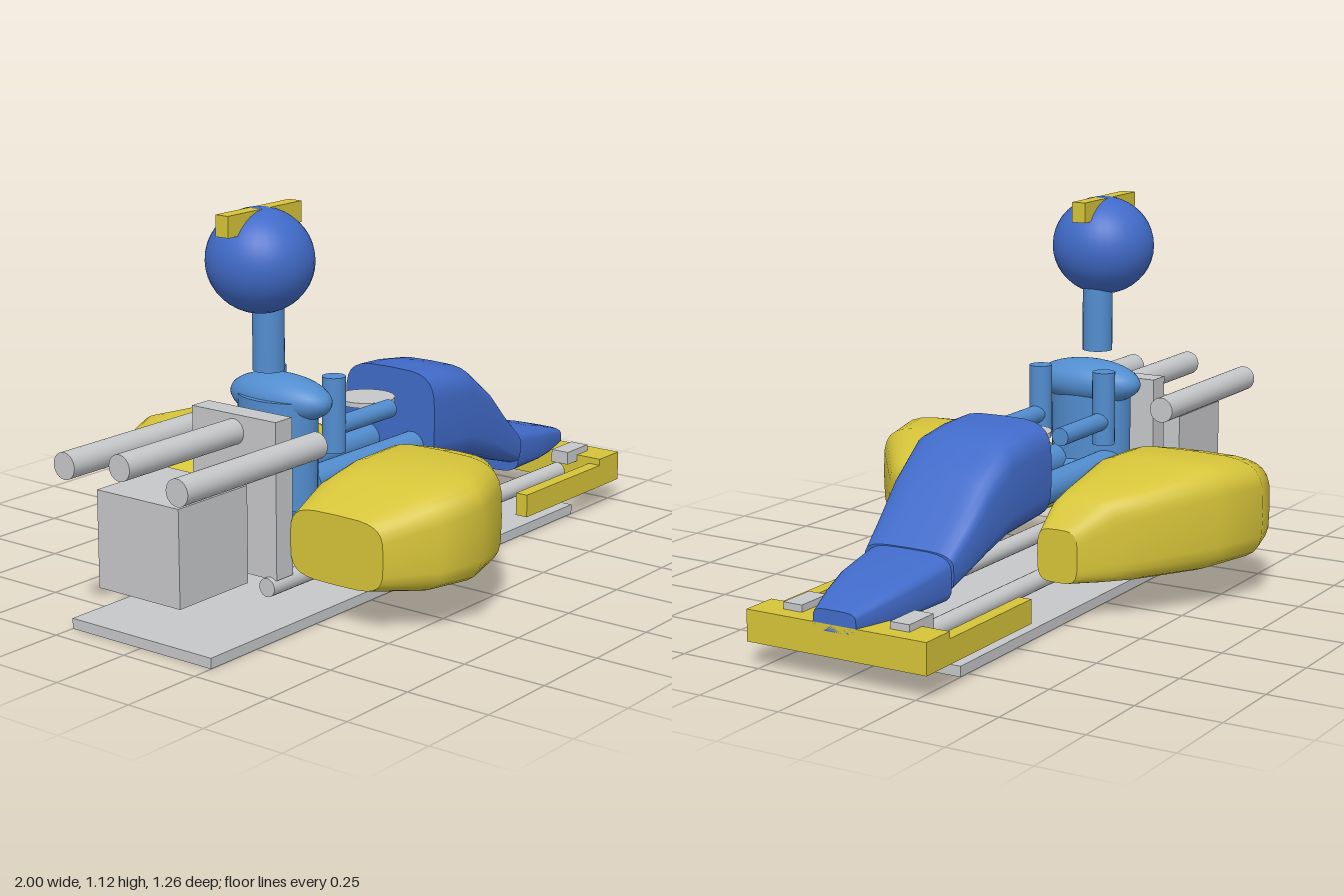
import * as THREE from 'three';

const material = (name, color) => {
  const m = new THREE.MeshStandardMaterial({ color });
  m.name = name;
  return m;
};

// Skin through rounded sections [x, bottom, top, zMin, zMax]; power sets how square they are
function loft(sections, power, n = 28) {
  const pos = [], index = [];
  const rings = sections.map(([x, y0, y1, z0, z1]) => {
    const ring = [];
    for (let j = 0; j < n; j++) {
      const t = (j / n) * Math.PI * 2;
      const round = (v) => Math.sign(v) * Math.abs(v) ** (2 / power);
      ring.push([
        x,
        (y0 + y1) / 2 + ((y1 - y0) / 2) * round(Math.sin(t)),
        (z0 + z1) / 2 + ((z1 - z0) / 2) * round(Math.cos(t)),
      ]);
    }
    return ring;
  });
  rings.forEach((ring) => ring.forEach((p) => pos.push(...p)));
  for (let i = 0; i < rings.length - 1; i++) {
    for (let j = 0; j < n; j++) {
      const a = i * n + j, b = i * n + ((j + 1) % n);
      index.push(a, a + n, b, b, a + n, b + n);
    }
  }
  // End caps with their own corners, so their rims stay sharp
  [0, rings.length - 1].forEach((r, end) => {
    const base = pos.length / 3;
    const [x, y0, y1, z0, z1] = sections[r];
    pos.push(x, (y0 + y1) / 2, (z0 + z1) / 2);
    rings[r].forEach((p) => pos.push(...p));
    for (let j = 0; j < n; j++) {
      const a = base + 1 + j, b = base + 1 + ((j + 1) % n);
      if (end) index.push(base, b, a);
      else index.push(base, a, b);
    }
  });
  const g = new THREE.BufferGeometry();
  g.setAttribute('position', new THREE.Float32BufferAttribute(pos, 3));
  g.setIndex(index);
  g.computeVertexNormals();
  return g;
}

export function createModel() {
  const model = new THREE.Group();
  const grey = material('metal grey', 0xc6c7c9);
  const yellow = material('body yellow', 0xd6c439);
  const blue = material('deep blue', 0x416bc9);
  const suit = material('suit blue', 0x528dcf);

  const add = (name, geometry, mat, x = 0, y = 0, z = 0) => {
    const mesh = new THREE.Mesh(geometry, mat);
    mesh.name = name;
    mesh.position.set(x, y, z);
    model.add(mesh);
    return mesh;
  };
  const box = (name, mat, x0, x1, y0, y1, z0, z1) =>
    add(name, new THREE.BoxGeometry(x1 - x0, y1 - y0, z1 - z0), mat,
      (x0 + x1) / 2, (y0 + y1) / 2, (z0 + z1) / 2);
  const rod = (name, mat, x0, x1, r, y, z) =>
    add(name, new THREE.CylinderGeometry(r, r, x1 - x0, 24).rotateZ(Math.PI / 2), mat,
      (x0 + x1) / 2, y, z);
  const post = (name, mat, y0, y1, r, x, z) =>
    add(name, new THREE.CylinderGeometry(r, r, y1 - y0, 24), mat, x, (y0 + y1) / 2, z);
  const ball = (name, mat, rx, ry, rz, x, y, z) =>
    add(name, new THREE.SphereGeometry(1, 32, 20).scale(rx, ry, rz), mat, x, y, z);

  // Chassis and rear machinery
  box('floorPlate', grey, -0.935, 0.785, 0, 0.03, -0.25, 0.25);
  box('engineBlock', grey, -0.935, -0.66, 0.14, 0.415, -0.145, 0.145);
  box('seatBack', grey, -0.545, -0.475, 0.115, 0.565, -0.15, 0.15);
  rod('centrePipe', grey, -1, -0.43, 0.037, 0.515, 0);

  // Nose and cowl
  add('cowl', loft([
    [0.165, 0.27, 0.56, -0.165, 0.165], [0.26, 0.265, 0.555, -0.17, 0.17],
    [0.37, 0.255, 0.54, -0.168, 0.168], [0.48, 0.225, 0.455, -0.162, 0.162],
    [0.57, 0.195, 0.36, -0.154, 0.154], [0.65, 0.17, 0.285, -0.145, 0.145],
  ], 4), blue);
  add('nose', loft([
    [0.65, 0.14, 0.282, -0.138, 0.138], [0.8, 0.14, 0.255, -0.125, 0.125],
    [0.9, 0.14, 0.23, -0.1, 0.1], [1, 0.14, 0.2, -0.068, 0.068],
  ], 4), blue);
  box('bumperBar', yellow, 0.89, 1, 0.07, 0.16, -0.285, 0.285);

  // Driver
  ball('head', blue, 0.147, 0.147, 0.155, -0.425, 0.975, 0);
  box('headCrest', yellow, -0.582, -0.272, 1.06, 1.12, -0.022, 0.022);
  post('neck', suit, 0.66, 0.86, 0.045, -0.392, 0);
  ball('shoulders', suit, 0.085, 0.068, 0.172, -0.34, 0.573, 0);
  const torso = post('torso', suit, 0.27, 0.58, 0.088, -0.355, 0);
  torso.scale.z = 1.45;
  ball('hips', suit, 0.1, 0.08, 0.13, -0.33, 0.28, 0);

  // Steering wheel
  post('steeringWheel', grey, 0.478, 0.493, 0.085, 0.05, 0);

  // Paired parts
  for (const [label, s] of [['left', 1], ['right', -1]]) {
    const span = (a, b) => (s > 0 ? [a, b] : [-b, -a]);
    const pod = [
      [-0.485, 0.12, 0.32, 0.47], [-0.38, 0.112, 0.39, 0.59],
      [-0.25, 0.11, 0.42, 0.63], [-0.08, 0.108, 0.422, 0.575],
      [0.09, 0.107, 0.37, 0.44], [0.15, 0.107, 0.345, 0.37], [0.22, 0.11, 0.265, 0.28],
    ];
    add(label + 'SidePod',
      loft(pod.map(([x, y0, y1, z]) => [x, y0, y1, ...span(0.15, z)]), 4), yellow);
    rod(label + 'Rail', grey, -0.56, 0.925, 0.027, 0.095, s * 0.127);
    rod(label + 'Pipe', grey, -1, -0.43, 0.038, 0.485, s * 0.2);
    box(label + 'BumperArm', yellow, 0.48, 0.89, 0.07, 0.14, ...span(0.245, 0.285));
    box(label + 'Pedal', grey, 0.835, 0.95, 0.14, 0.18, ...span(0.14, 0.2));
    post(label + 'UpperArm', suit, 0.41, 0.628, 0.034, -0.238, s * 0.108);
    rod(label + 'Forearm', suit, -0.24, 0.02, 0.027, 0.48, s * 0.108);
    rod(label + 'Leg', suit, -0.32, 0.24, 0.045, 0.33, s * 0.082);
  }
  return model;
}
